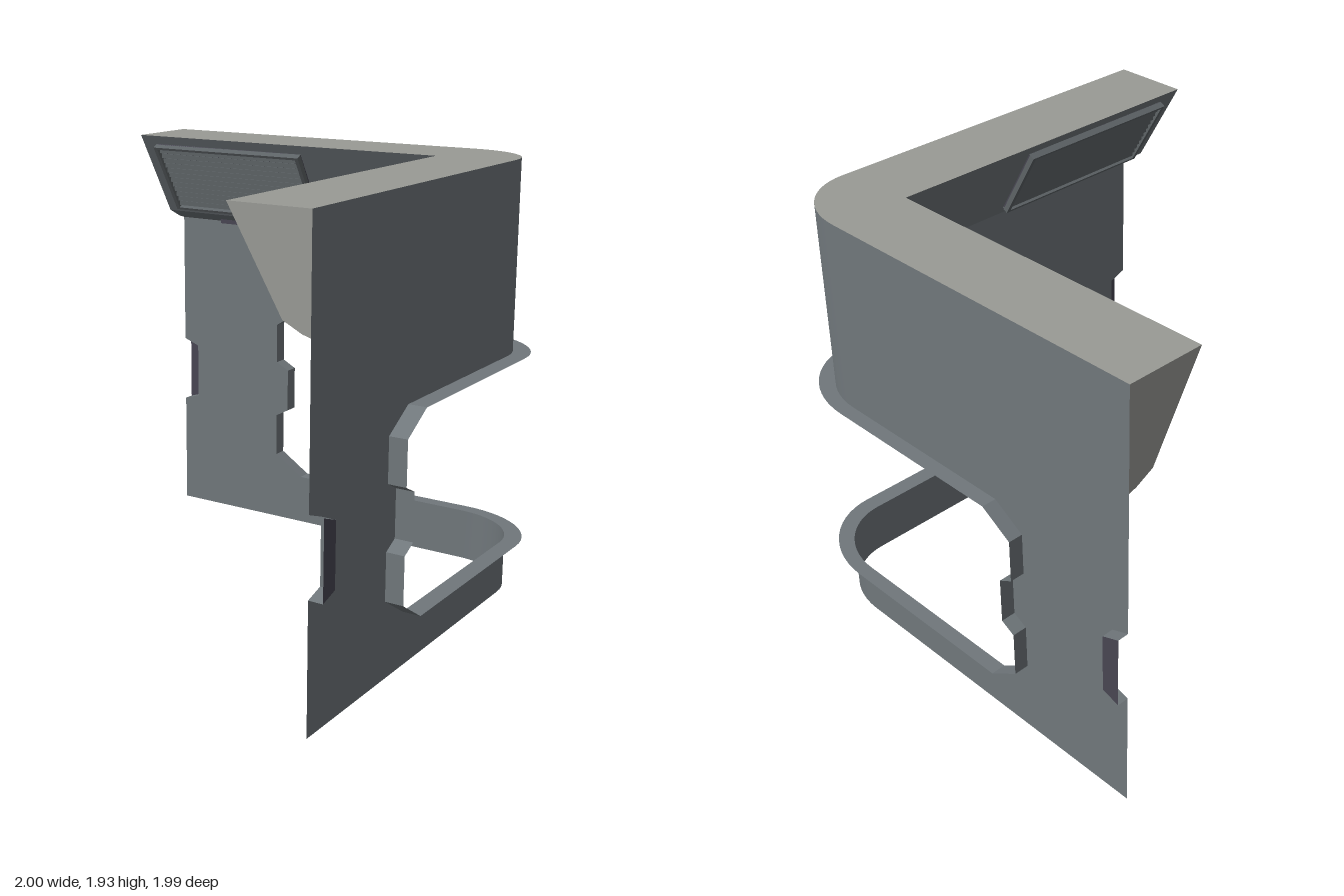
import * as THREE from 'three';
import { toCreasedNormals } from 'three/addons/utils/BufferGeometryUtils.js';

const mat = (name, color) => {
  const m = new THREE.MeshStandardMaterial({ color, side: THREE.DoubleSide });
  m.name = name;
  return m;
};

// Wall planes, corner radii and the far ends of both legs
const WX = 0.92, WZ = -0.935, RX = 0.33, RZ = 0.29, ENDZ = 0.99, STRETCH = 1.027;
const TOP = 1.93, SILL = 0.235, HEAD = 1.09, FLANGE = -0.065, ARC = 14;
const sideZ = (u) => ENDZ - (u + 1) * STRETCH;
const depthX = (d) => (d < 0 ? d * 1.23 : d);

// u runs from the free end along a leg, d is the depth into the room
const place = (side, u, y, d) => side
  ? [WX - depthX(d), y, sideZ(u)]
  : [u, y, WZ + d];

// Plan path around the corner, offset by d, starting at u0 on each leg
function planPath(u0, d, y) {
  const dx = depthX(d);
  const rx = Math.max(0, RX - dx), rz = Math.max(0, RZ - d);
  const cx = WX - Math.max(RX, dx), cz = WZ + Math.max(RZ, d);
  const pts = [place(false, u0, y, d)];
  for (let i = 0; i <= ARC; i++) {
    const a = (i / ARC) * Math.PI / 2;
    pts.push([cx + rx * Math.sin(a), y, cz - rz * Math.cos(a)]);
  }
  pts.push(place(true, u0, y, d));
  return pts;
}

// Surface between two rows of points
function ribbon(a, b) {
  const pos = [];
  for (let i = 0; i < a.length - 1; i++) {
    pos.push(...a[i], ...a[i + 1], ...b[i + 1], ...a[i], ...b[i + 1], ...b[i]);
  }
  const g = new THREE.BufferGeometry();
  g.setAttribute('position', new THREE.Float32BufferAttribute(pos, 3));
  return toCreasedNormals(g, 0.5);
}

// Flat outline in (u, y) set on one leg at depth d
function plate(outline, side, d) {
  const g = new THREE.ShapeGeometry(new THREE.Shape(outline.map(([u, y]) => new THREE.Vector2(u, y))));
  const p = g.attributes.position;
  for (let i = 0; i < p.count; i++) p.setXYZ(i, ...place(side, p.getX(i), p.getY(i), d));
  g.computeVertexNormals();
  return g;
}

export function createModel() {
  const root = new THREE.Group();
  root.name = 'cornerWallPanel';
  const wall = mat('wallGrey', 0x70777b);
  const trim = mat('capGrey', 0x999a95);
  const dark = mat('recessDark', 0x484652);
  const slatMat = mat('slatGrey', 0x5d6366);

  const add = (parent, name, geo, m) => {
    const mesh = new THREE.Mesh(geo, m);
    mesh.name = name;
    parent.add(mesh);
    return mesh;
  };
  const sweep = (name, u0, [d0, y0], [d1, y1], m) =>
    add(root, name, ribbon(planPath(u0, d0, y0), planPath(u0, d1, y1)), m);

  // Wall bands below and above the window, and the window ledges
  const U = -0.295;
  sweep('lowerWallBand', U, [0, 0], [0, SILL], wall);
  sweep('upperWallBand', U, [0, HEAD], [0, TOP], wall);
  sweep('windowSill', U, [0, SILL], [FLANGE, SILL], wall);
  sweep('windowHead', U, [0, HEAD], [FLANGE, HEAD], wall);

  // Sloping cove under the flat top
  const cove = [[0, 1.49], [0.035, 1.5], [0.115, 1.54], [0.345, TOP]];
  for (let i = 0; i < 3; i++) sweep('coveFace', -1, cove[i], cove[i + 1], wall);
  sweep('topCap', -1, [0.345, TOP], [0, TOP], trim);

  // Window jamb and end notch outlines
  const jamb = [[U, SILL], [-0.44, 0.33], [-0.44, 0.535], [-0.375, 0.57],
    [-0.375, 0.775], [-0.44, 0.81], [-0.44, 1.0], [U, HEAD]];
  const notch = [[-1, 0.86], [-0.92, 0.83], [-0.92, 0.565], [-1, 0.54]];
  const endOutline = [[-1, 0], [U, 0], ...jamb, [U, TOP], [-1, TOP], ...notch];

  for (const side of [false, true]) {
    const leg = new THREE.Group();
    leg.name = side ? 'leftLeg' : 'backLeg';
    root.add(leg);
    const strip = (pts, d) => ribbon(
      pts.map(([u, y]) => place(side, u, y, 0)), pts.map(([u, y]) => place(side, u, y, d)));

    add(leg, 'endWall', plate(endOutline, side, 0), wall);
    add(leg, 'windowJamb', strip(jamb, FLANGE), wall);
    add(leg, 'notchSides', strip(notch, -0.05), wall);
    add(leg, 'notchBack', plate(notch, side, -0.05), dark);

    // Cap closing the end of the cove
    const at = ([d, y]) => place(side, -1, y, d);
    add(leg, 'coveEndCap', ribbon([...cove.map(at)], cove.map(([, y]) => at([0, y]))), trim);

    // Louvred vent lying on the cove slope
    const vent = new THREE.Group();
    vent.name = 'vent';
    vent.rotation.x = Math.atan2(0.23, 0.39);
    const mount = new THREE.Group();
    mount.name = 'ventMount';
    mount.position.set(...place(side, -0.52, 1.73, 0.227));
    if (side) mount.rotation.y = -Math.PI / 2;
    mount.add(vent);
    leg.add(mount);
    const W = 0.81, H = 0.37;
    const bar = (name, w, h, depth, x, y, m) =>
      add(vent, name, new THREE.BoxGeometry(w, h, depth), m).position.set(x, y, depth / 2);
    bar('ventBacking', W, H, 0.006, 0, 0, dark);
    for (const s of [-1, 1]) {
      bar('ventFrameSide', 0.018, H, 0.03, s * (W / 2 - 0.009), 0, slatMat);
      bar('ventFrameRail', W, 0.012, 0.03, 0, s * (H / 2 - 0.006), slatMat);
    }
    const count = 12;
    for (let i = 0; i < count; i++) {
      const y = ((i + 0.5) / count - 0.5) * (H - 0.03);
      const slat = add(vent, 'ventSlat', new THREE.BoxGeometry(W - 0.04, 0.021, 0.008), slatMat);
      slat.position.set(0, y, 0.014);
      slat.rotation.x = -0.5;
    }

    // Narrow strip set under the cove
    const lamp = add(leg, 'coveStrip', new THREE.BoxGeometry(0.44, 0.02, 0.03), dark);
    lamp.position.set(...place(side, -0.52, 1.497, 0.035));
    if (side) lamp.rotation.y = -Math.PI / 2;
  }
  return root;
}
